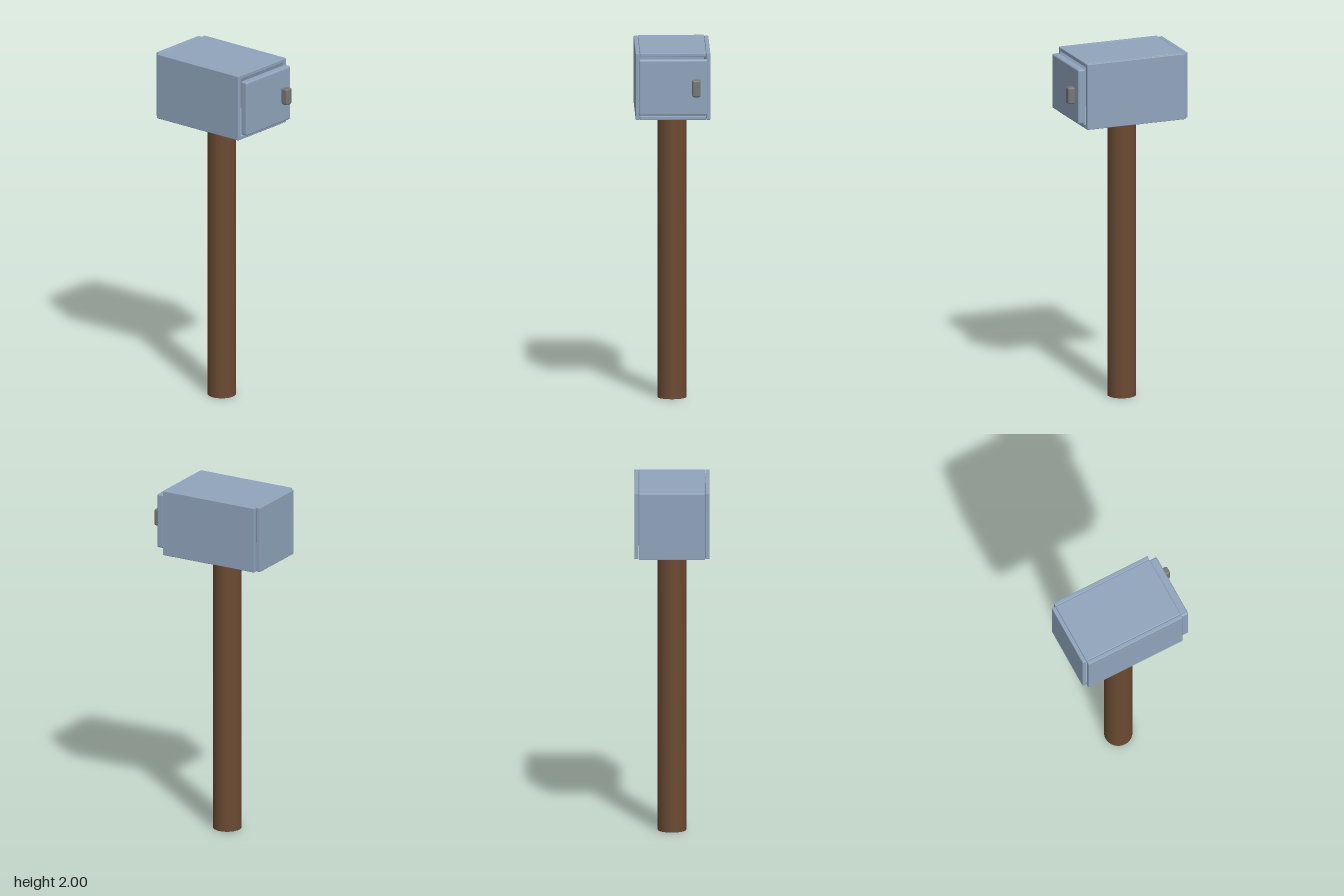
import * as THREE from 'three';
import { RoundedBoxGeometry } from 'three/addons/geometries/RoundedBoxGeometry.js';

const material = (name, color) => {
  const m = new THREE.MeshStandardMaterial({ color });
  m.name = name;
  return m;
};

export function createModel() {
  const metal = material('blue grey metal', 0x90a4bc);
  const wood = material('brown wood', 0x6b4a32);
  const grip = material('grey handle', 0x777777);
  const model = new THREE.Group();
  model.name = 'mailbox';

  // Rounded block given by its extents on each axis
  const block = (name, mat, [x0, x1], [y0, y1], [z0, z1], radius) => {
    const mesh = new THREE.Mesh(new RoundedBoxGeometry(x1 - x0, y1 - y0, z1 - z0, 3, radius), mat);
    mesh.position.set((x0 + x1) / 2, (y0 + y1) / 2, (z0 + z1) / 2);
    mesh.name = name;
    model.add(mesh);
  };

  // Post, set slightly behind the centre
  const post = new THREE.Mesh(new THREE.CylinderGeometry(0.08, 0.08, 1.622, 32), wood);
  post.position.set(0, 0.811, -0.032);
  post.name = 'post';
  model.add(post);

  // Hollow housing of five separate panels
  const depth = [-0.331, 0.264], height = [1.62, 2], inner = [-0.185, 0.185];
  block('bottomPanel', metal, inner, [1.62, 1.643], depth, 0.004);
  block('topPanel', metal, inner, [1.977, 2], depth, 0.004);
  block('leftPanel', metal, [0.186, 0.209], height, depth, 0.004);
  block('rightPanel', metal, [-0.209, -0.186], height, depth, 0.004);
  block('backPanel', metal, inner, height, [-0.355, -0.332], 0.004);

  // Door and its handle
  block('door', metal, [-0.192, 0.192], [1.653, 1.969], [0.267, 0.312], 0.01);
  block('doorHandle', grip, [0.106, 0.152], [1.763, 1.859], [0.311, 0.355], 0.01);

  return model;
}
